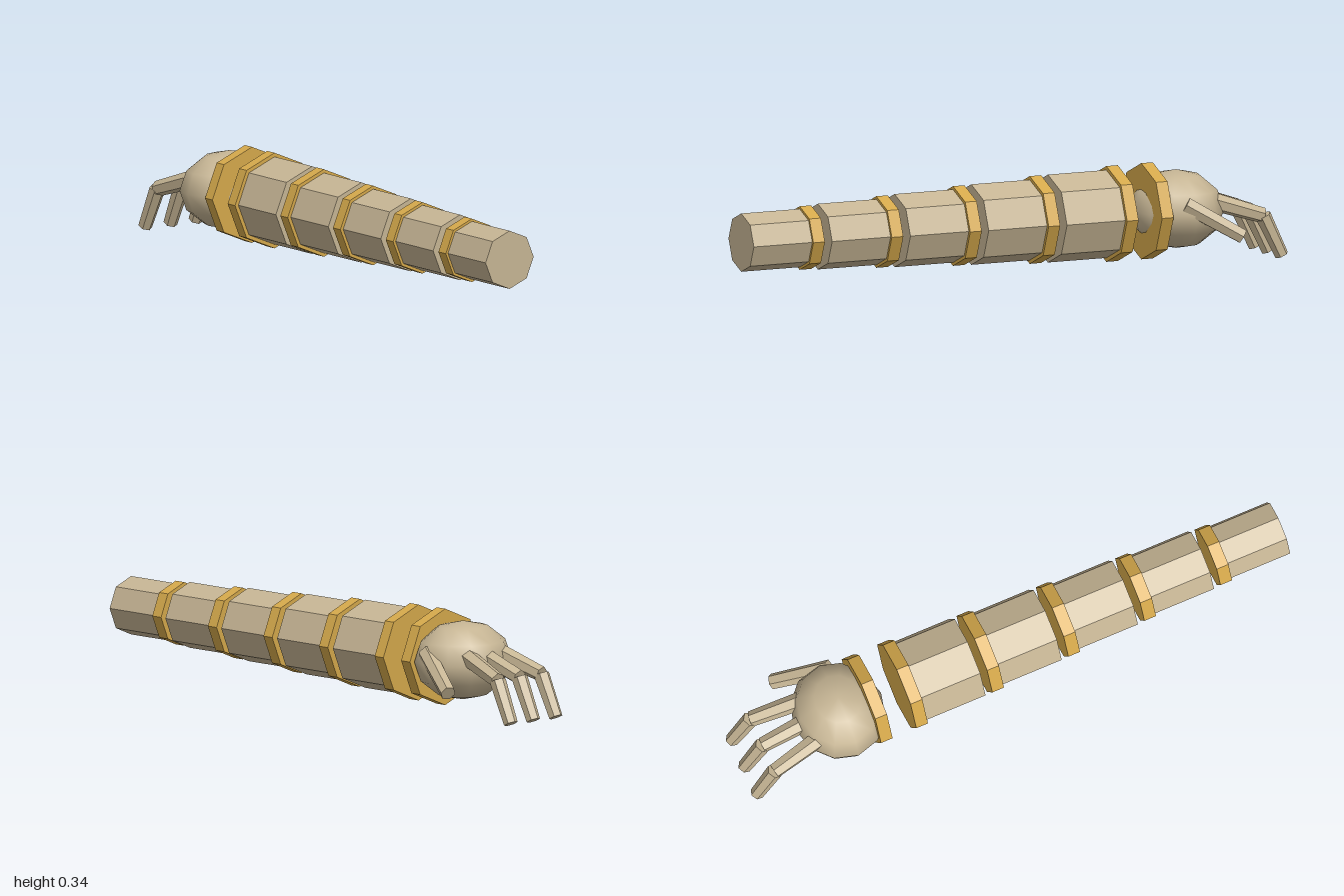
import * as THREE from 'three';

export function createModel() {
  const tan = new THREE.MeshStandardMaterial({ color: 0xc6b594 });
  tan.name = 'tan';
  const gold = new THREE.MeshStandardMaterial({ color: 0xd4a84b });
  gold.name = 'gold';

  const model = new THREE.Group();
  model.name = 'segmentedArm';
  const CX = -0.032, CY = 0.18; // arm axis

  // faceted tapered prism running from point a to point b
  function prism(name, a, b, ra, rb, sides, material, parent = model) {
    const from = new THREE.Vector3(...a), to = new THREE.Vector3(...b);
    const dir = to.clone().sub(from);
    const geo = new THREE.CylinderGeometry(rb, ra, dir.length(), sides).toNonIndexed();
    geo.computeVertexNormals();
    const mesh = new THREE.Mesh(geo, material);
    mesh.name = name;
    mesh.position.copy(from).add(to).multiplyScalar(0.5);
    mesh.quaternion.setFromUnitVectors(new THREE.Vector3(0, 1, 0), dir.normalize());
    parent.add(mesh);
  }
  const alongArm = (name, z0, z1, r, material) =>
    prism(name, [CX, CY, z0], [CX, CY, z1], r, r, 8, material);

  // five separate arm segments, each with a gold band at its far end
  for (let i = 0; i < 5; i++) {
    const z = 1 - i * 0.2875, r = 0.1 + i * 0.0127;
    alongArm('armSegment' + (i + 1), z, z - 0.26, r, tan);
    alongArm('armBand' + (i + 1), z - 0.219, z - 0.262, r * 1.09, gold);
  }
  alongArm('wristBand', -0.5, -0.543, 0.165, gold);

  // smooth palm
  const palm = new THREE.Mesh(new THREE.SphereGeometry(1, 12, 6), tan);
  palm.name = 'palm';
  palm.scale.set(0.175, 0.135, 0.16);
  palm.position.set(CX, CY, -0.63);
  model.add(palm);

  // three bent fingers
  [-1, 0, 1].forEach((s, i) => {
    const finger = new THREE.Group();
    finger.name = 'finger' + (i + 1);
    model.add(finger);
    const x0 = CX + s * 0.073, x1 = CX + s * 0.102;
    prism('upperFinger', [x0, 0.212, -0.72], [x1, 0.152, -0.908], 0.032, 0.027, 6, tan, finger);
    prism('lowerFinger', [x1, 0.152, -0.908], [x1 + s * 0.003, 0.012, -0.976], 0.028, 0.024, 6, tan, finger);
  });

  // thumb on the left side
  prism('thumb', [0.108, 0.215, -0.6], [0.18, 0.105, -0.78], 0.031, 0.027, 6, tan);

  return model;
}
